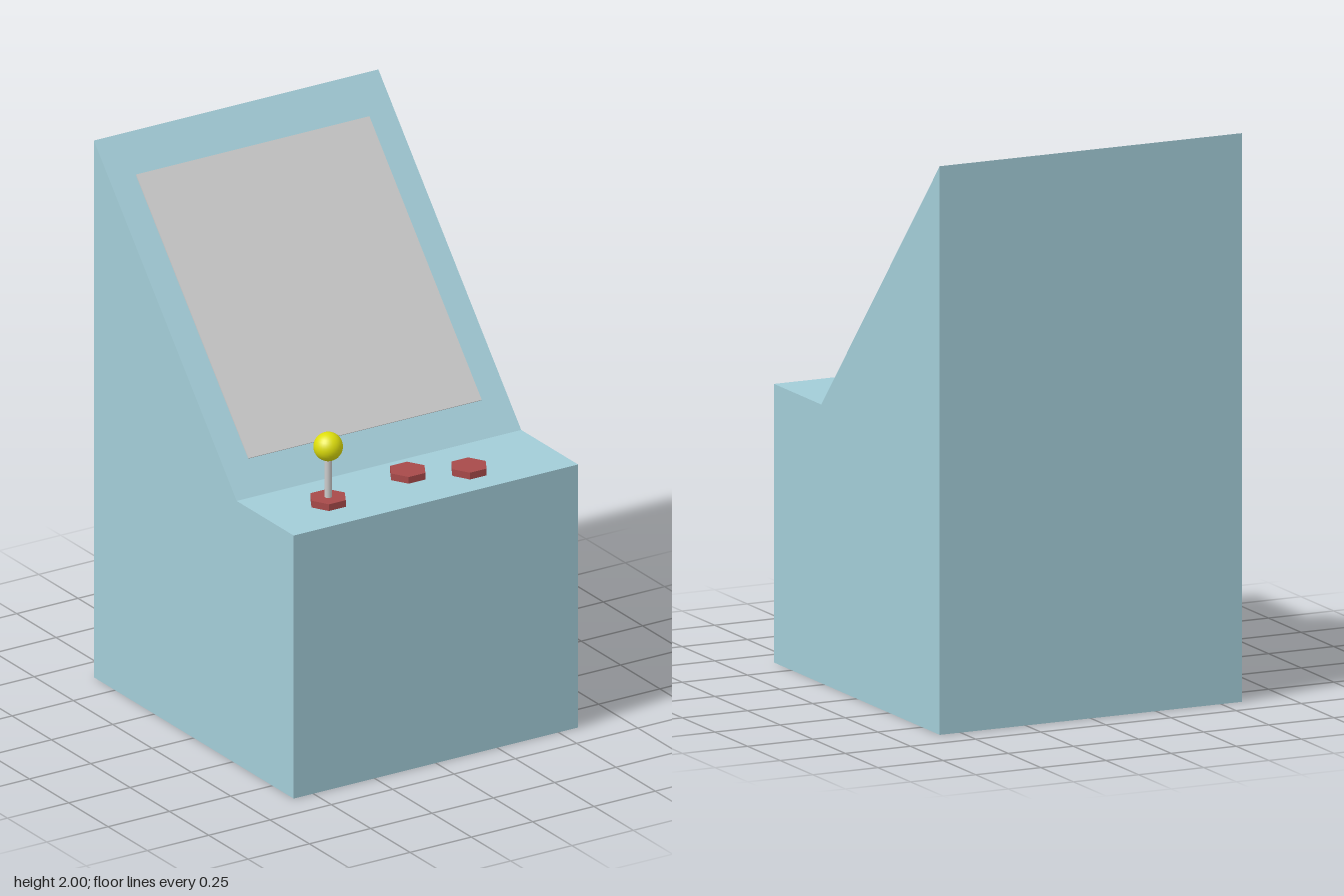
import * as THREE from 'three';

const mat = (color, flatShading = false) => new THREE.MeshStandardMaterial({ color, flatShading });

export function createModel() {
  const group = new THREE.Group();
  const blue = mat(0xa3cdd8, true), grey = mat(0xcccccc), red = mat(0xa84a4a, true), yellow = mat(0xdede0c);

  const add = (name, geometry, material, x = 0, y = 0, z = 0) => {
    const mesh = new THREE.Mesh(geometry, material);
    mesh.name = name;
    mesh.position.set(x, y, z);
    group.add(mesh);
    return mesh;
  };

  // Cabinet: side profile (z, y) extruded across the width
  const width = 1.16, deckY = 0.98, creaseZ = 0.273, depth = 0.635, topY = 2;
  const profile = new THREE.Shape([
    [depth, 0], [depth, deckY], [creaseZ, deckY], [-depth, topY], [-depth, 0],
  ].map(([z, y]) => new THREE.Vector2(z, y)));
  const body = new THREE.ExtrudeGeometry(profile, { depth: width, bevelEnabled: false });
  body.translate(0, 0, -width / 2).rotateY(-Math.PI / 2);
  add('cabinet', body, blue);

  // Screen: thin panel lying just proud of the sloped face
  const tilt = Math.atan2(creaseZ + depth, topY - deckY);
  const screenY = 1.483;
  const screenZ = creaseZ - (screenY - deckY) * Math.tan(tilt);
  const screen = add('screen', new THREE.BoxGeometry(0.95, 1.075, 0.01), grey, 0, screenY, screenZ);
  screen.rotation.x = -tilt;

  // Hexagonal joystick base and buttons on the control deck
  const hex = new THREE.CylinderGeometry(0.068, 0.068, 0.025, 6).rotateY(Math.PI / 6);
  const stick = { x: -0.327, z: 0.46 };
  add('joystickBase', hex, red, stick.x, deckY + 0.0125, stick.z);
  add('innerButton', hex, red, 0.033, deckY + 0.0125, 0.405);
  add('outerButton', hex, red, 0.23, deckY + 0.0125, 0.487);

  // Joystick shaft and ball
  add('joystickShaft', new THREE.CylinderGeometry(0.013, 0.013, 0.19, 16), grey, stick.x, 1.085, stick.z);
  add('joystickBall', new THREE.SphereGeometry(0.051, 32, 16), yellow, stick.x, 1.192, stick.z);

  return group;
}
